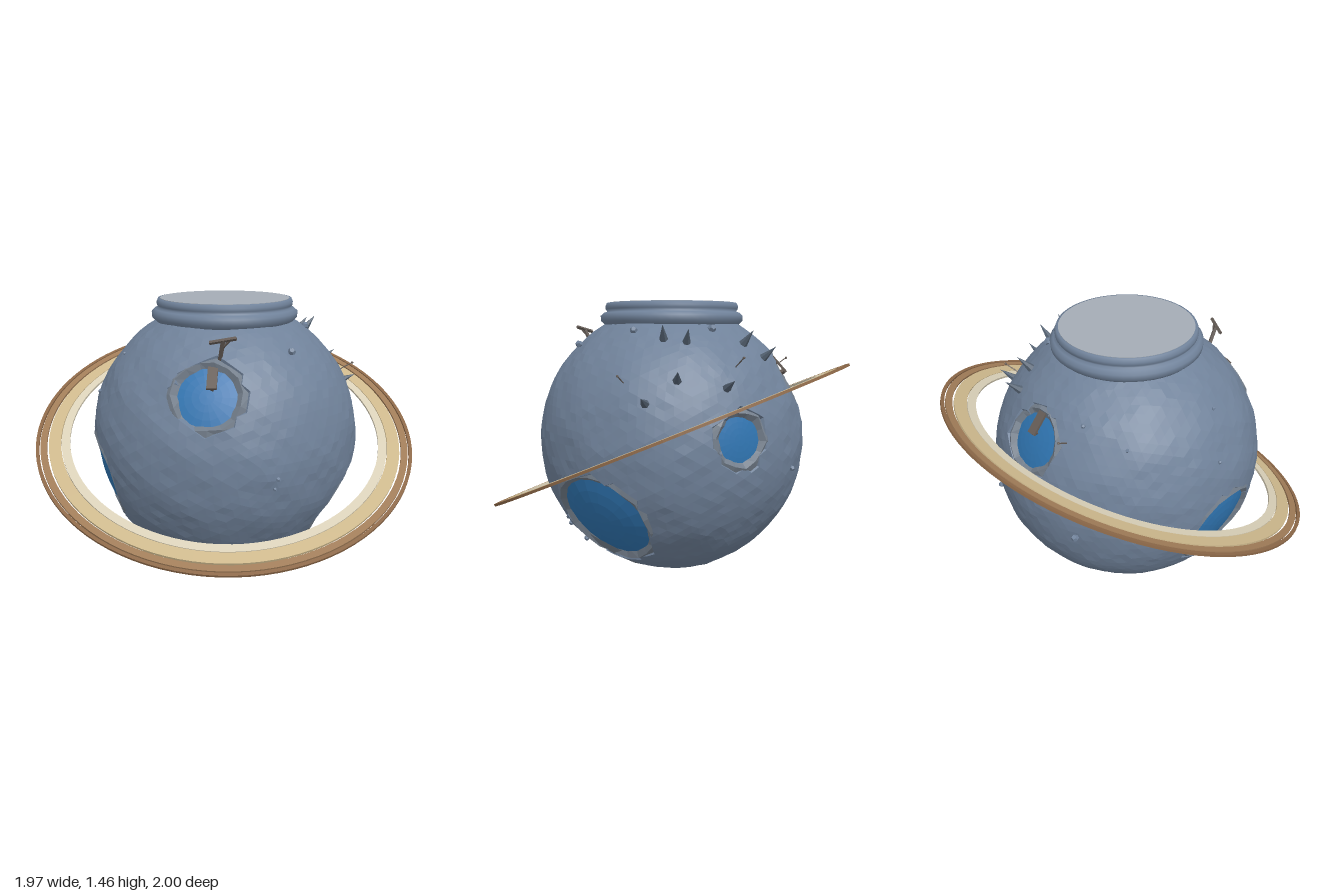
import * as THREE from 'three';

const CENTER_Y = 0.72;
const R = 0.72;
const UP = new THREE.Vector3(0, 1, 0);
const v = (x, y, z) => new THREE.Vector3(x, y, z);
const mat = (color) => new THREE.MeshStandardMaterial({ color, flatShading: true });

const slate = mat(0x70829a);
const rimGrey = mat(0x737e8b);
const stone = mat(0x566474);
const water = mat(0x2f74b0);
const paving = mat(0xa4acb5);
const wood = mat(0x665d57);

// Craters: direction from the planet's centre and angular radius
const craters = [
  { dir: v(-0.31, -0.19, 0.62), a: 0.29 },
  { dir: v(0.37, 0.34, 0.47), a: 0.19 },
  { dir: v(-0.52, 0.32, -0.3), a: 0.18 },
  { dir: v(-0.07, 0.08, -0.68), a: 0.145 },
  { dir: v(0.52, -0.37, -0.33), a: 0.35 },
  { dir: v(0.35, -0.63, 0), a: 0.215 },
];
craters.forEach((c) => c.dir.normalize());

let seed = 7;
const rand = () => {
  seed = (seed * 16807) % 2147483647;
  return seed / 2147483647;
};

function add(parent, name, geometry, material) {
  const mesh = new THREE.Mesh(geometry, material);
  mesh.name = name;
  parent.add(mesh);
  return mesh;
}

// Stand an object on the surface, its y axis pointing outward
function plant(object, dir, radius) {
  const d = dir.clone().normalize();
  object.position.copy(d).multiplyScalar(radius);
  object.quaternion.setFromUnitVectors(UP, d);
  return object;
}

// Bumpy globe, pushed in under each crater
function planetGeometry() {
  const geo = new THREE.IcosahedronGeometry(1, 17);
  const pos = geo.attributes.position;
  const d = v(0, 0, 0);
  for (let i = 0; i < pos.count; i++) {
    d.fromBufferAttribute(pos, i).normalize();
    const bump = Math.sin(d.x * 9 + d.y * 5) * Math.sin(d.y * 11 - d.z * 4) * Math.sin(d.z * 8 + 1)
      + 0.5 * Math.sin(d.x * 31 + 2) * Math.sin(d.y * 37) * Math.sin(d.z * 29 + 1);
    let r = R + 0.006 * bump;
    if (craters.some((c) => d.angleTo(c.dir) < c.a + 0.03)) r = 0.65;
    pos.setXYZ(i, d.x * r, d.y * r, d.z * r);
  }
  geo.computeVertexNormals();
  return geo;
}

// Jagged rim around a crater, with +y as the crater's axis
function rimGeometry(a) {
  const n = Math.round(10 + a * 25);
  const rows = [[a - 0.01, 0.675, 0], [a + 0.045, 0.72, 0.012], [a + 0.13, 0.7, 0.01]];
  const points = [];
  const index = [];
  rows.forEach(([angle, radius, jitter], row) => {
    for (let i = 0; i < n; i++) {
      const t = (i / n) * Math.PI * 2;
      const r = radius + (rand() - 0.5) * jitter;
      const p = angle + (rand() - 0.5) * jitter * 2;
      points.push(r * Math.sin(p) * Math.cos(t), r * Math.cos(p), r * Math.sin(p) * Math.sin(t));
      if (row > 0) {
        const j = (i + 1) % n;
        const [i0, j0, i1, j1] = [(row - 1) * n + i, (row - 1) * n + j, row * n + i, row * n + j];
        index.push(i0, j0, i1, j0, j1, i1);
      }
    }
  });
  const geo = new THREE.BufferGeometry();
  geo.setAttribute('position', new THREE.Float32BufferAttribute(points, 3));
  geo.setIndex(index);
  geo.computeVertexNormals();
  return geo;
}

// Rectangular beam between two points
function beam(parent, name, from, to, width, depth, material) {
  const mesh = add(parent, name, new THREE.BoxGeometry(width, from.distanceTo(to), depth), material);
  mesh.position.copy(from).lerp(to, 0.5);
  const y = to.clone().sub(from).normalize();
  const x = y.clone().cross(mesh.position).normalize();
  mesh.quaternion.setFromRotationMatrix(new THREE.Matrix4().makeBasis(x, y, x.clone().cross(y)));
  return mesh;
}

export function createModel() {
  const model = new THREE.Group();
  const planet = new THREE.Group();
  planet.name = 'planet';
  planet.position.y = CENTER_Y;
  model.add(planet);
  add(planet, 'globe', planetGeometry(), slate);

  // Water-filled craters
  for (const { dir, a } of craters) {
    const crater = plant(new THREE.Group(), dir, 0);
    crater.name = 'crater';
    add(crater, 'lake', new THREE.SphereGeometry(0.695, 18, 4, 0, Math.PI * 2, 0, a + 0.02), water);
    add(crater, 'craterRim', rimGeometry(a), rimGrey);
    planet.add(crater);
  }

  // Round landing platform on top
  const lip = [[0.33, 0.58], [0.365, 0.622], [0.384, 0.64], [0.386, 0.668], [0.368, 0.684],
    [0.35, 0.69], [0.358, 0.703], [0.36, 0.718], [0.352, 0.736], [0.335, 0.736]];
  add(planet, 'platformLip', new THREE.LatheGeometry(lip.map((p) => new THREE.Vector2(...p)), 48),
    new THREE.MeshStandardMaterial({ color: 0x70829a, side: THREE.DoubleSide }));
  add(planet, 'platformTop', new THREE.CylinderGeometry(0.341, 0.341, 0.06, 48), paving).position.y = 0.708;

  // Tilted ring made of four concentric bands
  const ring = new THREE.Group();
  ring.name = 'ring';
  ring.position.y = 0.015;
  ring.quaternion.setFromUnitVectors(UP, v(0.295, 0.92, 0.255).normalize());
  planet.add(ring);
  const bands = [[0.85, 0.895, 0xd9d0b8], [0.898, 0.963, 0xcdb88c], [0.972, 1.007, 0xa07c58], [1.013, 1.031, 0x8c6848]];
  for (const [inner, outer, color] of bands) {
    const t = 0.006;
    const section = [[inner, -t], [outer, -t], [outer, t], [inner, t], [inner, -t]];
    add(ring, 'ringBand', new THREE.LatheGeometry(section.map((p) => new THREE.Vector2(...p)), 96), mat(color));
  }

  // Stone spikes on the upper back
  const spikes = [[-0.02, 0.34, -0.68], [0.22, 0.38, -0.62], [0.38, 0.27, -0.6], [-0.33, 0.48, -0.49],
    [-0.22, 0.555, -0.47], [0.12, 0.56, -0.5], [0.22, 0.58, -0.44]];
  for (const s of spikes) {
    plant(add(planet, 'spike', new THREE.ConeGeometry(0.024, 0.1, 6), stone), v(...s), R + 0.04);
  }

  // Scattered pebbles: direction and size
  const pebbles = [[-0.73, -0.07, -0.04, 0.02], [0.56, -0.44, 0.15, 0.016], [0.56, -0.45, 0.07, 0.016],
    [0.49, -0.52, 0, 0.015], [0.64, -0.03, 0.28, 0.013], [0.65, -0.08, 0.3, 0.01], [-0.05, 0.6, -0.41, 0.022],
    [0.31, 0.58, -0.28, 0.02], [0.51, 0.52, 0.04, 0.02], [-0.57, 0.4, 0.18, 0.01], [-0.54, 0.47, -0.04, 0.012],
    [-0.35, 0.26, 0.57, 0.01], [-0.22, 0.47, 0.5, 0.009], [-0.42, -0.1, -0.57, 0.015]];
  for (const [x, y, z, size] of pebbles) {
    plant(add(planet, 'pebble', new THREE.DodecahedronGeometry(size), slate), v(x, y, z), R + size * 0.4);
  }

  // Thin marker pins with a bulb
  for (const p of [[0.47, 0.38, -0.51], [-0.1, 0.42, -0.58], [-0.6, 0.4, -0.11]]) {
    const pin = plant(new THREE.Group(), v(...p), R);
    pin.name = 'markerPin';
    add(pin, 'pinStem', new THREE.CylinderGeometry(0.003, 0.003, 0.08, 5), wood).position.y = 0.035;
    add(pin, 'pinBulb', new THREE.IcosahedronGeometry(0.007, 0), wood).position.y = 0.076;
    planet.add(pin);
  }

  // Jetties reaching over two lakes
  for (const [from, to] of [[v(0.31, 0.5, 0.37), v(0.4, 0.385, 0.47)], [v(-0.47, 0.46, -0.27), v(-0.54, 0.37, -0.31)]]) {
    beam(planet, 'jetty', from, to, 0.048, 0.012, wood);
    for (const f of [0.35, 0.92]) {
      const top = from.clone().lerp(to, f);
      beam(planet, 'jettyPost', top.clone().multiplyScalar(0.94), top.clone().add(v(0.001, 0, 0)), 0.02, 0.02, wood);
    }
  }

  // Small crane beside the front jetty
  beam(planet, 'cranePost', v(0.34, 0.49, 0.36), v(0.39, 0.6, 0.385), 0.016, 0.016, wood);
  beam(planet, 'craneArm', v(0.335, 0.585, 0.42), v(0.44, 0.61, 0.35), 0.014, 0.014, wood);
  beam(planet, 'craneBrace', v(0.37, 0.555, 0.375), v(0.415, 0.6, 0.367), 0.008, 0.008, wood);

  return model;
}
